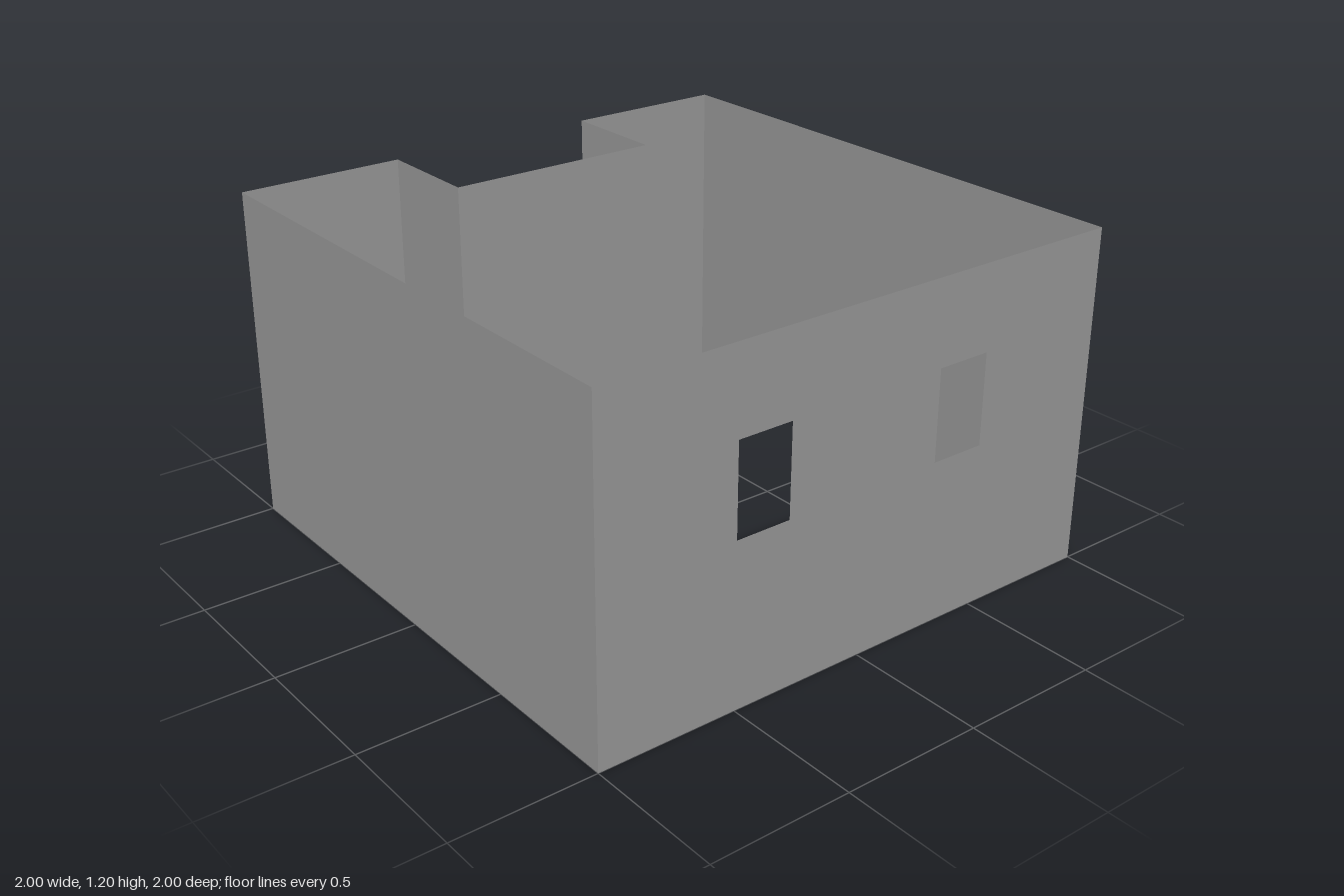
import * as THREE from 'three';

const HEIGHT = 1.2;

export function createModel() {
  const model = new THREE.Group();
  model.name = 'roomShell';
  const wallGrey = new THREE.MeshStandardMaterial({ color: 0x999999, side: THREE.DoubleSide });
  wallGrey.name = 'wallGrey';

  // Thin wall standing between two floor-plan points [x, z], with optional window openings
  function addWall(name, [x0, z0], [x1, z1], windows = []) {
    const half = Math.hypot(x1 - x0, z1 - z0) / 2;
    const rect = (Type, l, r, b, t) => new Type([
      new THREE.Vector2(l, b), new THREE.Vector2(r, b),
      new THREE.Vector2(r, t), new THREE.Vector2(l, t),
    ]);
    const shape = rect(THREE.Shape, -half, half, 0, HEIGHT);
    for (const w of windows) shape.holes.push(rect(THREE.Path, ...w));
    const wall = new THREE.Mesh(new THREE.ShapeGeometry(shape), wallGrey);
    wall.name = name;
    wall.position.set((x0 + x1) / 2, 0, (z0 + z1) / 2);
    wall.rotation.y = Math.atan2(z0 - z1, x1 - x0);
    model.add(wall);
  }

  // Front wall with two window openings
  addWall('frontWall', [-1, 1], [1, 1], [
    [-0.5, -0.3, 0.58, 0.9],
    [0.3, 0.5, 0.58, 0.9],
  ]);

  // Remaining walls, running round the plan with a recess in the back
  const plan = [[1, 1], [1, -1], [0.4, -1], [0.4, -0.6], [-0.4, -0.6], [-0.4, -1], [-1, -1], [-1, 1]];
  const names = ['leftWall', 'backWallLeft', 'recessSideLeft', 'recessWall',
    'recessSideRight', 'backWallRight', 'rightWall'];
  names.forEach((name, i) => addWall(name, plan[i], plan[i + 1]));

  return model;
}
